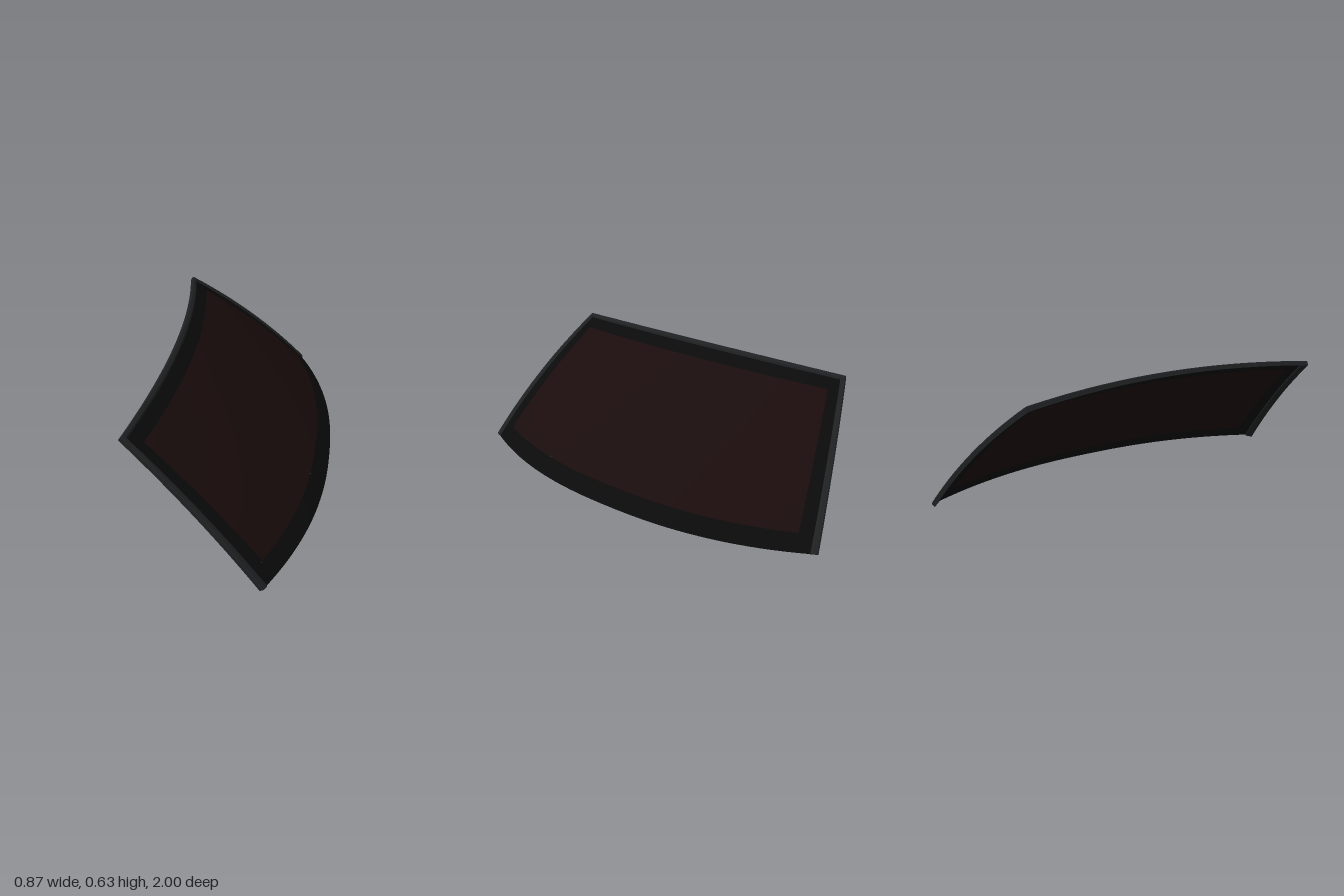
import * as THREE from 'three';
import { ParametricGeometry } from 'three/addons/geometries/ParametricGeometry.js';
import { mergeGeometries, toCreasedNormals } from 'three/addons/utils/BufferGeometryUtils.js';

const { lerp } = THREE.MathUtils;

// Curved screen: u runs across (-1..1 along z), v from lower edge (0) to upper edge (1)
function screenPoint(u, v, target = new THREE.Vector3()) {
  const bow = 4 * v * (1 - v);
  const lift = bow * (0.018 + 0.008 * u * u);
  const xLow = 0.428 - 0.23 * Math.abs(u) ** 2.3;
  const xHigh = -0.345 - 0.08 * u * u;
  const yHigh = 0.628 - 0.032 * u * u;
  return target.set(
    lerp(xLow, xHigh, v) + 0.62 * lift,
    lerp(0.014, yHigh, v) + 0.78 * lift,
    u * (lerp(0.99, 0.785, v) + 0.012 * bow)
  );
}

// Outward direction of the screen
function screenNormal(u, v) {
  const e = 0.001;
  const across = screenPoint(u + e, v).sub(screenPoint(u - e, v));
  const up = screenPoint(u, v + e).sub(screenPoint(u, v - e));
  return up.cross(across).normalize();
}

// Part of the screen between two u and two v limits
function patch(u0, u1, v0, v1, nu, nv) {
  return new ParametricGeometry(
    (s, t, target) => screenPoint(lerp(u0, u1, t), lerp(v0, v1, s), target), nv, nu);
}

// Raised strip swept up one side, across the top and down the other side
function trimGeometry() {
  // Section corners: distance inward from the edge, height above the screen
  const section = [[-0.009, -0.017], [-0.009, 0.004], [-0.004, 0.009], [0.012, 0.009], [0.02, 0.002], [0.02, -0.006]];
  const path = [];
  const side = 20, top = 40;
  for (let i = 0; i < side; i++) path.push([1, i / side, 1, 0]);
  for (let i = 0; i <= top; i++) {
    const u = 1 - 2 * i / top;
    path.push([u, 1, i === 0 ? 1 : i === top ? -1 : 0, 1]);
  }
  for (let i = side - 1; i >= 0; i--) path.push([-1, i / side, -1, 0]);

  const positions = [], index = [], n = section.length;
  for (const [u, v, inU, inV] of path) {
    for (const [inset, height] of section) {
      const uu = u - inU * inset / 0.9, vv = v - inV * inset / 0.97;
      const p = screenPoint(uu, vv).addScaledVector(screenNormal(uu, vv), height);
      positions.push(p.x, Math.max(p.y, 0), p.z);
    }
  }
  for (let i = 0; i < path.length - 1; i++) {
    for (let j = 0; j < n; j++) {
      const k = (j + 1) % n;
      const a = i * n + j, b = i * n + k, c = a + n, d = b + n;
      index.push(a, b, c, b, d, c);
    }
  }
  const last = (path.length - 1) * n;
  for (let j = 1; j < n - 1; j++) {
    index.push(0, j + 1, j, last, last + j, last + j + 1);
  }
  const geometry = new THREE.BufferGeometry();
  geometry.setAttribute('position', new THREE.Float32BufferAttribute(positions, 3));
  geometry.setIndex(index);
  return toCreasedNormals(geometry, 0.5);
}

export function createModel() {
  const group = new THREE.Group();
  group.name = 'windshield';

  const add = (name, geometry, color) => {
    const material = new THREE.MeshStandardMaterial({ color, side: THREE.DoubleSide });
    const mesh = new THREE.Mesh(geometry, material);
    mesh.name = name;
    group.add(mesh);
  };

  // Tinted pane inside a dark border
  const u = 0.915, low = 0.1, high = 0.905;
  add('glass', patch(-u, u, low, high, 48, 20), 0x1a0c0c);
  add('border', mergeGeometries([
    patch(-1, 1, 0, low, 52, 3),
    patch(-1, 1, high, 1, 52, 3),
    patch(-1, -u, low, high, 2, 20),
    patch(u, 1, low, high, 2, 20),
  ]), 0x0a0a0a);

  // Trim along the sides and top
  add('trim', trimGeometry(), 0x1e2021);
  return group;
}
